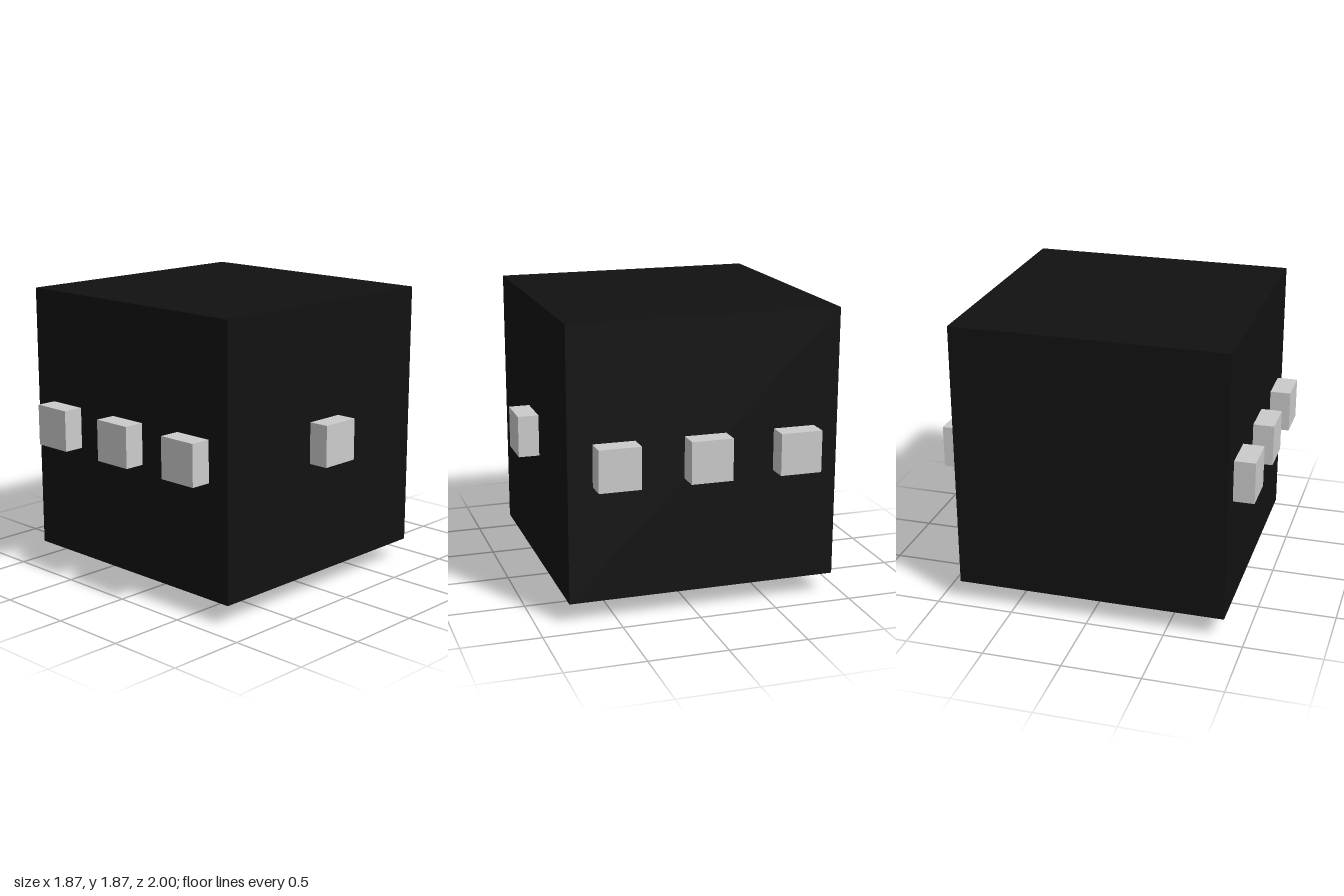
import * as THREE from 'three';

const SIZE = 1.7333;          // body edge length
const HALF = SIZE / 2;
const PEG = 0.2667;           // peg edge length, half of it sunk into the body
const PITCH = SIZE / 3;       // spacing of the pegs in a row

export function createModel() {
  const model = new THREE.Group();
  const dark = new THREE.MeshStandardMaterial({ color: 0x111111 });
  const grey = new THREE.MeshStandardMaterial({ color: 0xcccccc });

  // Main block
  const body = new THREE.Mesh(new THREE.BoxGeometry(SIZE, SIZE, SIZE), dark);
  body.name = 'body';
  model.add(body);

  const pegGeometry = new THREE.BoxGeometry(PEG, PEG, PEG);
  const addPeg = (name, x, y, z) => {
    const peg = new THREE.Mesh(pegGeometry, grey);
    peg.name = name;
    peg.position.set(x, y, z);
    model.add(peg);
  };

  // Rows of three pegs on front and back
  for (const i of [-1, 0, 1]) {
    addPeg('frontPeg', i * PITCH, 0, HALF);
    addPeg('backPeg', i * PITCH, 0, -HALF);
  }

  // Single pegs on the left side and underneath
  addPeg('leftPeg', HALF, 0, 0);
  addPeg('bottomPeg', 0, -HALF, 0);

  // Stand on the bottom peg, centred including the side peg
  model.position.set(-PEG / 4, HALF + PEG / 2, 0);
  const root = new THREE.Group();
  root.name = 'peggedCube';
  root.add(model);
  return root;
}
